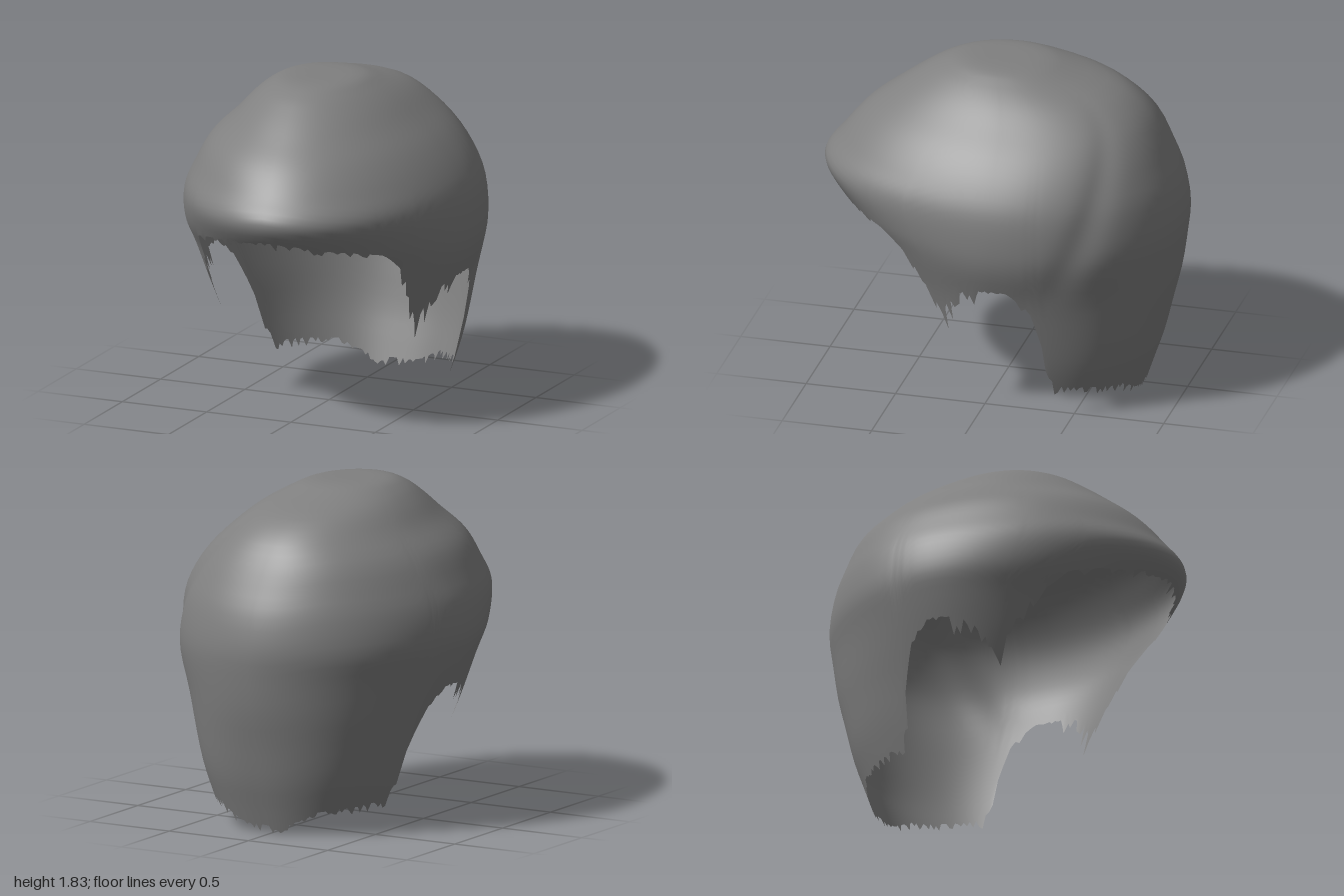
import * as THREE from 'three';

// Level rings, crown to nape: [y, front z, back z, half width, middle z, sideways lean]
const RINGS = [
  [1.835, 0.02, 0.02, 0.0, 0.02, -0.03],
  [1.83, 0.25, -0.2, 0.19, 0.01, -0.03],
  [1.79, 0.38, -0.36, 0.29, -0.01, -0.03],
  [1.72, 0.5, -0.6, 0.39, -0.05, -0.02],
  [1.62, 0.64, -0.75, 0.495, -0.08, -0.01],
  [1.5, 0.79, -0.84, 0.62, -0.09, -0.01],
  [1.36, 0.91, -0.91, 0.715, -0.1, 0.0],
  [1.22, 1.0, -0.97, 0.78, -0.1, 0.0],
  [1.05, 0.89, -1.0, 0.8, -0.1, 0.0],
  [0.9, 0.75, -0.99, 0.775, -0.1, 0.01],
  [0.7, 0.65, -0.96, 0.71, -0.1, 0.01],
  [0.5, 0.55, -0.91, 0.65, -0.1, 0.02],
  [0.3, 0.5, -0.86, 0.595, -0.1, 0.025],
  [0.15, 0.45, -0.81, 0.55, -0.1, 0.025],
  [0.0, 0.4, -0.76, 0.5, -0.1, 0.025],
];

// Hairline height by angle, from the middle of the fringe (0) to the nape (180)
const HAIRLINE = [
  [0, 1.13], [15, 1.11], [25, 1.08], [38, 1.05], [46, 1.02], [51, 0.92], [57, 0.74],
  [62, 0.56], [66, 0.64], [72, 0.73], [80, 0.78], [90, 0.79], [97, 0.78], [102, 0.65],
  [105, 0.45], [107, 0.27], [112, 0.18], [130, 0.16], [150, 0.14], [160, 0.09], [168, 0.06], [180, 0.05],
];

function hairlineAt(deg) {
  const k = Math.max(1, HAIRLINE.findIndex((p) => p[0] >= deg));
  const [a, ya] = HAIRLINE[k - 1], [b, yb] = HAIRLINE[k];
  return ya + (yb - ya) * (deg - a) / (b - a);
}

function seeded(seed) {
  return () => {
    seed = (seed * 16807) % 2147483647;
    return seed / 2147483647;
  };
}

const curve = (pick) => new THREE.CatmullRomCurve3(
  RINGS.map((r) => new THREE.Vector3(...pick(r))), false, 'catmullrom', 0.5);
const outline = curve((r) => [r[0], r[1], r[2]]);
const breadth = curve((r) => [r[3], r[4], r[5]]);

// Fraction along the rings at which the surface reaches height y
function fractionAt(y) {
  let lo = 0, hi = 1;
  for (let i = 0; i < 24; i++) {
    const mid = (lo + hi) / 2;
    if (outline.getPoint(mid).x > y) lo = mid; else hi = mid;
  }
  return lo;
}

const power = (v, p) => Math.sign(v) * Math.abs(v) ** p;

// Roundness of each quarter: [middle, change towards crown, change towards nape]
const QUARTERS = {
  frontLeft: [1.05, 0, 0],
  frontRight: [1.05, -0.1, 0],
  backLeft: [0.95, -0.09, -0.12],
  backRight: [1.08, -0.1, -0.18],
};

function roundness(c, s, y) {
  const [middle, crown, nape] = QUARTERS[(c > 0 ? 'front' : 'back') + (s > 0 ? 'Left' : 'Right')];
  return middle + crown * THREE.MathUtils.smoothstep(y, 1.15, 1.55)
    + nape * (1 - THREE.MathUtils.smoothstep(y, 0.3, 0.9));
}

function surfacePoint(t, angle) {
  const o = outline.getPoint(t), b = breadth.getPoint(t);
  const y = o.x, c = Math.cos(angle), s = Math.sin(angle);
  const reach = c > 0 ? o.y - b.y : b.y - o.z;
  const p = roundness(c, s, y);
  // Shallow groove running down behind the left ear
  const path = 1.92 + 0.6 * (y - 0.75);
  const depth = 0.025 * Math.max(0, 1 - ((y - 1.25) / 0.55) ** 2);
  const dent = 1 - depth * Math.exp(-(((angle - path) / 0.13) ** 2));
  const z = b.y + reach * power(c, p) * dent;
  const x = b.x * power(s, p) * dent + b.z + 0.05 * Math.max(0, z) ** 2;
  return [x, y, z];
}

function hairGeometry() {
  const columns = 240, rows = 36;
  const random = seeded(41);
  const positions = [], index = [];
  for (let i = 0; i < columns; i++) {
    const deg = -180 + 360 * i / columns, angle = THREE.MathUtils.degToRad(deg);
    const a = Math.abs(deg);
    // The right temple is cut a little nearer the front
    const edge = hairlineAt(a + (deg < 0 ? 4 * Math.exp(-(((a - 44) / 9) ** 2)) : 0));
    const end = fractionAt(edge);
    for (let j = 0; j < rows; j++) positions.push(...surfacePoint(end * j / (rows - 1), angle));
    // Ragged strand tips, longest at the sideburns
    const ragged = a > 48 && a < 82 ? 0.13 : a > 98 && a < 112 ? 0.08 : 0.05;
    const tip = Math.max(0, edge - 0.005 - ragged * random() ** 3);
    positions.push(...surfacePoint(fractionAt(tip), angle));
  }
  const stride = rows + 1;
  for (let i = 0; i < columns; i++) {
    const p = i * stride, q = ((i + 1) % columns) * stride;
    for (let j = 0; j < rows; j++) {
      if (j > 0) index.push(p + j, p + j + 1, q + j);
      index.push(q + j, p + j + 1, q + j + 1);
    }
  }
  const geometry = new THREE.BufferGeometry();
  geometry.setAttribute('position', new THREE.Float32BufferAttribute(positions, 3));
  geometry.setIndex(index);
  geometry.computeVertexNormals();
  // One shared upward normal where all columns meet at the crown
  for (let i = 0; i < columns; i++) geometry.attributes.normal.setXYZ(i * stride, 0, 1, 0);
  return geometry;
}

export function createModel() {
  const hairGrey = new THREE.MeshStandardMaterial({ color: 0x808080, side: THREE.DoubleSide });
  hairGrey.name = 'hair grey';
  const hair = new THREE.Mesh(hairGeometry(), hairGrey);
  hair.name = 'hair';
  const model = new THREE.Group();
  model.name = 'wig';
  model.add(hair);
  return model;
}
